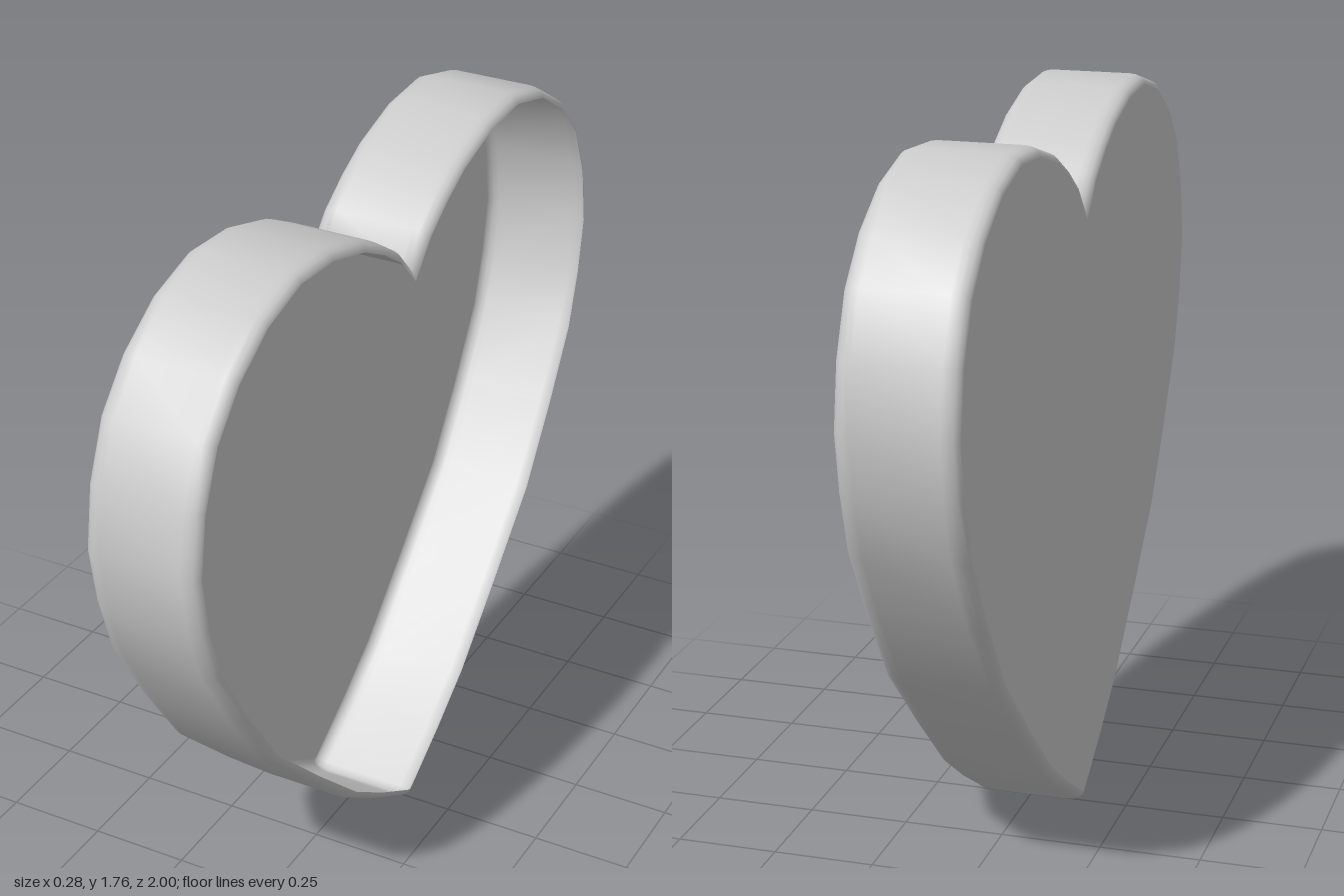
import * as THREE from 'three';

// Half of the heart outline as (z, y), from the top notch round to the bottom tip
const HALF = [
  [0, 1.535], [0.06, 1.6], [0.147, 1.658], [0.24, 1.706], [0.39, 1.75], [0.54, 1.76],
  [0.69, 1.72], [0.82, 1.64], [0.917, 1.535], [0.976, 1.395], [1, 1.24], [0.976, 1.095],
  [0.93, 0.945], [0.82, 0.758], [0.69, 0.565], [0.5, 0.378], [0.31, 0.2], [0.168, 0.1],
  [0.02, 0.008], [0, 0],
];
const HALF_DEPTH = 0.14, BEVEL_DEPTH = 0.04, BEVEL_INSET = 0.024, STEPS = 4;

// Mirror the half into a closed counter-clockwise loop
function heartLoop() {
  const mirrored = HALF.map(([z, y]) => new THREE.Vector2(-z, y));
  const back = HALF.slice(1, -1).reverse().map(([z, y]) => new THREE.Vector2(z, y));
  return [...mirrored, ...back];
}

// Move every corner of a loop inwards by d, keeping the sides parallel
function inset(loop, d) {
  const n = loop.length;
  return loop.map((p, i) => {
    const a = p.clone().sub(loop[(i + n - 1) % n]).normalize();
    const b = loop[(i + 1) % n].clone().sub(p).normalize();
    const m = new THREE.Vector2(-a.y - b.y, a.x + b.x).normalize();
    const k = d / Math.max(0.6, -m.x * a.y + m.y * a.x);
    return p.clone().addScaledVector(m, k);
  });
}

// Wall lofted through the loop at each (x, inset) station of the profile
function wallGeometry(loop, profile) {
  const n = loop.length, positions = [], index = [];
  profile.forEach(([x, d], i) => {
    inset(loop, d).forEach((p, j) => {
      positions.push(x, p.y, p.x);
      if (i === profile.length - 1) return;
      const a = i * n + j, b = i * n + (j + 1) % n;
      index.push(a, a + n, b, b, a + n, b + n);
    });
  });
  const g = new THREE.BufferGeometry();
  g.setAttribute('position', new THREE.Float32BufferAttribute(positions, 3));
  g.setIndex(index);
  g.computeVertexNormals();
  return g;
}

export function createModel() {
  const group = new THREE.Group();
  group.name = 'heartTray';
  const material = new THREE.MeshStandardMaterial({ color: 0xcccccc, side: THREE.DoubleSide });
  const loop = heartLoop();

  // Rounded edge at both ends of a straight wall
  const edge = [];
  for (let i = 0; i <= STEPS; i++) {
    const t = (i / STEPS) * Math.PI / 2;
    edge.push([HALF_DEPTH - BEVEL_DEPTH * (1 - Math.sin(t)), BEVEL_INSET * (1 - Math.cos(t))]);
  }
  const profile = [...edge.map(([x, d]) => [-x, d]).reverse(), ...edge];

  const wall = new THREE.Mesh(wallGeometry(loop, profile), material);
  wall.name = 'wall';

  // Flat base closing the -x end; the +x end stays open
  const baseGeometry = new THREE.ShapeGeometry(new THREE.Shape(inset(loop, BEVEL_INSET)));
  baseGeometry.rotateY(-Math.PI / 2).translate(-HALF_DEPTH, 0, 0);
  const base = new THREE.Mesh(baseGeometry, material);
  base.name = 'base';

  group.add(wall, base);
  return group;
}
